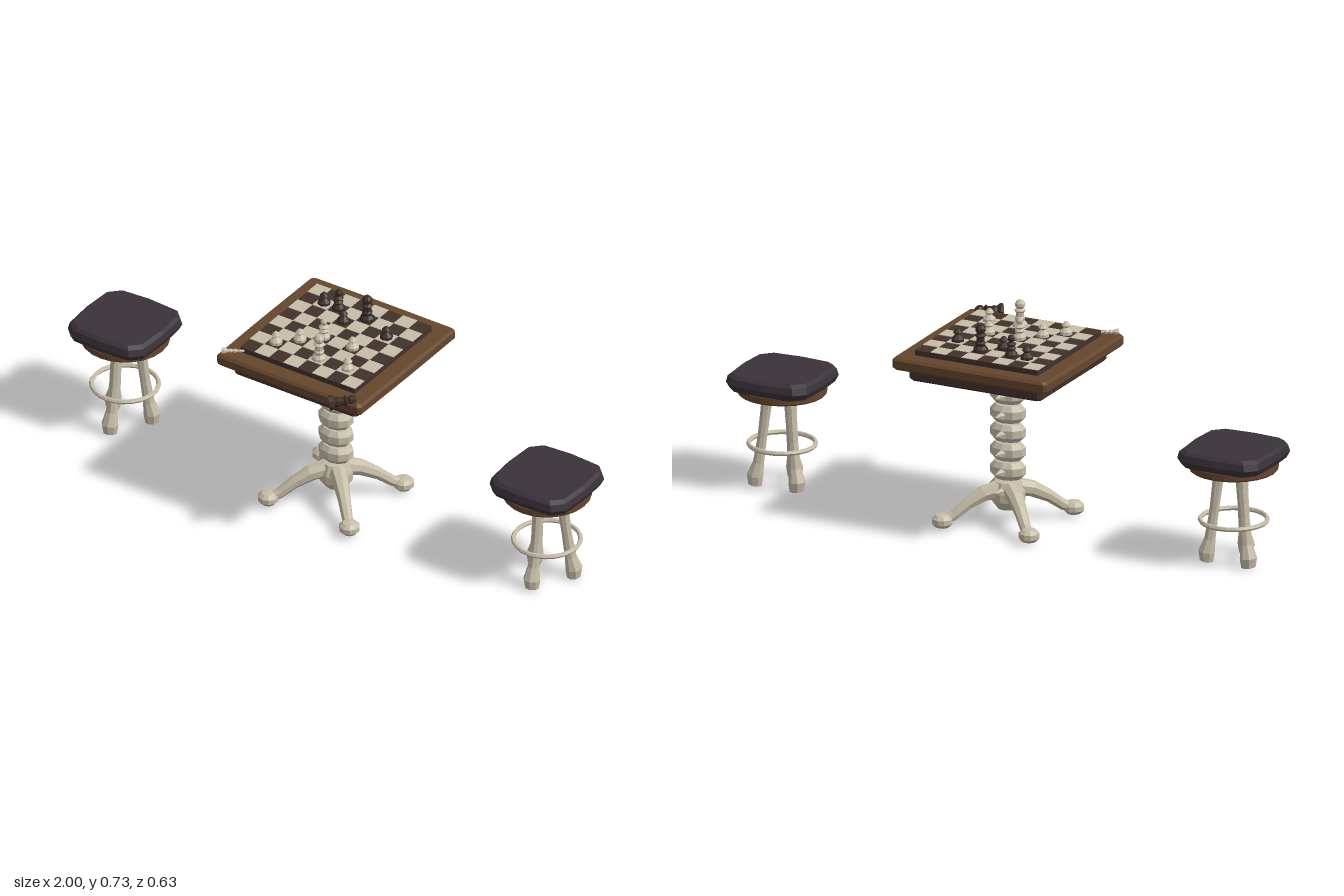
import * as THREE from 'three';

const mat = (name, color) => Object.assign(new THREE.MeshStandardMaterial({ color }), { name });

export function createModel() {
  const bone = mat('bone', 0xc6bda8);
  const wood = mat('wood', 0x65462d);
  const darkWood = mat('dark wood', 0x42312b);
  const ebony = mat('ebony', 0x3b2b25);
  const cushion = mat('cushion', 0x3a323a);

  const V = (x, y, z) => new THREE.Vector3(x, y, z);
  const UP = V(0, 1, 0);

  // Faceted mesh: split corners so each face is flat
  function part(parent, name, geo, material) {
    const flat = geo.index ? geo.toNonIndexed() : geo;
    flat.computeVertexNormals();
    const mesh = new THREE.Mesh(flat, material);
    mesh.name = name;
    parent.add(mesh);
    return mesh;
  }
  function group(parent, name, x = 0, y = 0, z = 0) {
    const g = new THREE.Group();
    g.name = name;
    g.position.set(x, y, z);
    parent.add(g);
    return g;
  }

  // Skin a list of equal-sized rings and cap both ends
  function loft(rings) {
    const n = rings[0].length, pos = [], idx = [];
    rings.forEach(r => r.forEach(p => pos.push(p.x, p.y, p.z)));
    for (let i = 0; i < rings.length - 1; i++) {
      for (let j = 0; j < n; j++) {
        const a = i * n + j, b = i * n + (j + 1) % n;
        idx.push(a, b, b + n, a, b + n, a + n);
      }
    }
    const end = (rings.length - 1) * n;
    for (let j = 1; j < n - 1; j++) idx.push(0, j + 1, j, end, end + j, end + j + 1);
    const g = new THREE.BufferGeometry();
    g.setAttribute('position', new THREE.Float32BufferAttribute(pos, 3));
    g.setIndex(idx);
    return g;
  }

  // Square slab from [y, half width] levels, with cut corners and bulging sides
  function slab(levels, cut, bulge = 0) {
    return loft(levels.map(([y, h]) => {
      const ring = [];
      let quarter = [[0, h], [h - cut, h - bulge], [h - bulge, h - cut]];
      for (let k = 0; k < 4; k++) {
        quarter.forEach(([x, z]) => ring.push(V(x, y, z)));
        quarter = quarter.map(([x, z]) => [z, -x]);
      }
      return ring;
    }));
  }

  // Limb from [x, y, z, radius] stations
  function limb(path, sides = 8) {
    const pts = path.map(p => V(p[0], p[1], p[2]));
    const w = pts[pts.length - 1].clone().sub(pts[0]).normalize();
    const u = V(0.31, 0.2, 1).cross(w).normalize(), v = w.clone().cross(u);
    return loft(pts.map((p, i) => Array.from({ length: sides }, (_, j) => {
      const a = j / sides * Math.PI * 2, r = path[i][3];
      return p.clone().addScaledVector(u, r * Math.cos(a)).addScaledVector(v, r * Math.sin(a));
    })));
  }

  const lathe = (profile, sides) =>
    new THREE.LatheGeometry(profile.map(([r, y]) => new THREE.Vector2(r, y)), sides);

  const model = new THREE.Group();
  model.name = 'boneGameTable';
  const Z = -0.022;

  // Table top, apron and collar
  const table = group(model, 'table', 0, 0, Z);
  part(table, 'tableTop', slab([[0.58, 0.283], [0.588, 0.29], [0.613, 0.29], [0.622, 0.282]], 0.012, 0.002), wood);
  part(table, 'apron', slab([[0.536, 0.24], [0.544, 0.247], [0.58, 0.247]], 0.012), darkWood);
  part(table, 'collar', lathe([[0, 0.493], [0.106, 0.493], [0.114, 0.501], [0.114, 0.527], [0.106, 0.536], [0, 0.536]], 24), darkWood);

  // Checkered board: dark base with light inlaid plates
  part(table, 'boardBase', slab([[0.62, 0.23], [0.64, 0.23]], 0.003), darkWood);
  const S = 0.0573;
  const square = k => (k - 3.5) * S;
  for (let i = 0; i < 8; i++) {
    for (let j = 0; j < 8; j++) {
      if ((i + j) % 2) continue;
      part(table, 'lightSquare', new THREE.BoxGeometry(S, 0.003, S), bone)
        .position.set(square(i), 0.6405, square(j));
    }
  }

  // Spine column with backward spikes
  const spine = group(table, 'spineColumn');
  function spike(y) {
    const s = part(spine, 'spike', new THREE.ConeGeometry(0.018, 0.06, 5), bone);
    s.rotation.x = -Math.PI / 2 + 0.15;
    s.position.set(0, y, -0.065);
  }
  for (let k = 0; k < 5; k++) {
    const y = 0.456 - k * 0.0665;
    const v = part(spine, 'vertebra', lathe([[0, -0.03], [0.036, -0.03], [0.048, -0.013], [0.048, 0.013],
      [0.036, 0.03], [0, 0.03]], 10), bone);
    v.position.y = y;
    v.scale.x = 1.3;
    spike(y + 0.002);
  }
  spike(0.126);
  part(spine, 'hip', lathe([[0, 0.05], [0.035, 0.054], [0.058, 0.085], [0.06, 0.115], [0.045, 0.15], [0, 0.158]], 10), bone);

  // Four diagonal table legs with knuckle feet
  for (const sx of [-1, 1]) {
    for (const sz of [-1, 1]) {
      part(table, 'tableLeg', limb([[0.02, 0.125, 0.02, 0.032], [0.06, 0.112, 0.06, 0.028],
        [0.1, 0.082, 0.1, 0.022], [0.135, 0.045, 0.135, 0.019], [0.16, 0.03, 0.16, 0.016]]
        .map(([x, y, z, r]) => [x * sx, y, z * sz, r])), bone);
      const foot = part(table, 'tableFoot', lathe([[0, -0.023], [0.024, -0.02], [0.035, -0.008],
        [0.035, 0.009], [0.022, 0.021], [0, 0.024]], 10), bone);
      foot.position.set(0.162 * sx, 0.031, 0.162 * sz);
    }
  }

  // Stools: cushion, wooden disc, three bone legs and a foot ring
  for (const side of [-1, 1]) {
    const stool = group(model, 'stool', side * 0.842, 0, Z);
    part(stool, 'cushion', slab([[0.345, 0.135], [0.353, 0.149], [0.374, 0.158], [0.396, 0.153], [0.406, 0.142]], 0.042, 0.007), cushion);
    part(stool, 'seatDisc', lathe([[0, 0.325], [0.146, 0.325], [0.15, 0.33], [0.15, 0.35], [0, 0.35]], 24), wood);
    for (let k = 0; k < 3; k++) {
      const leg = part(stool, 'stoolLeg', limb([[0, 0.003, 0.09, 0.024], [0, 0.035, 0.09, 0.029], [0, 0.08, 0.079, 0.02],
        [0, 0.17, 0.066, 0.017], [0, 0.27, 0.054, 0.019], [0, 0.33, 0.047, 0.023]]), bone);
      leg.rotation.y = k * Math.PI * 2 / 3;
    }
    const ring = part(stool, 'footRing', new THREE.TorusGeometry(0.112, 0.008, 6, 24), bone);
    ring.rotation.x = Math.PI / 2;
    ring.position.y = 0.147;
  }

  // Game pieces
  const profiles = {
    pawn: [[0, 0], [0.022, 0], [0.022, 0.01], [0.008, 0.024], [0.016, 0.031], [0.014, 0.034], [0.006, 0.043], [0, 0.043]],
    bishop: [[0, 0], [0.022, 0], [0.022, 0.01], [0.012, 0.022], [0.017, 0.029], [0.01, 0.036], [0.018, 0.044],
      [0.008, 0.052], [0.012, 0.061], [0.012, 0.067], [0.007, 0.075], [0, 0.076]],
    king: [[0, 0], [0.026, 0], [0.025, 0.01], [0.016, 0.02], [0.018, 0.031], [0.014, 0.036], [0.014, 0.05], [0.02, 0.057],
      [0.011, 0.064], [0.017, 0.072], [0.017, 0.082], [0.009, 0.092], [0, 0.093]],
  };
  const pieces = group(table, 'pieces');
  const piece = (kind, material) => part(pieces, kind, lathe(profiles[kind], 8), material);
  [['pawn', 1, 1], ['bishop', 2, 1], ['king', 4, 1], ['pawn', 3, 2], ['pawn', 6, 2]]
    .forEach(([kind, i, j]) => piece(kind, ebony).position.set(square(i), 0.641, square(j)));
  [['bishop', 3, 4], ['pawn', 5, 4], ['pawn', 2, 5], ['pawn', 1, 6], ['king', 4, 6], ['pawn', 6, 6]]
    .forEach(([kind, i, j]) => piece(kind, bone).position.set(square(i), 0.641, square(j)));

  // Toppled pieces at the front edge
  const fallenDark = piece('king', ebony);
  fallenDark.position.set(0.185, 0.617, 0.318);
  fallenDark.quaternion.setFromUnitVectors(UP, V(0.78, 0.1, -0.62).normalize());
  const fallenLight = piece('bishop', bone);
  fallenLight.scale.set(0.45, 1, 0.45);
  fallenLight.position.set(-0.275, 0.631, 0.27);
  fallenLight.quaternion.setFromUnitVectors(UP, V(0.85, 0, -0.53).normalize());

  return model;
}
